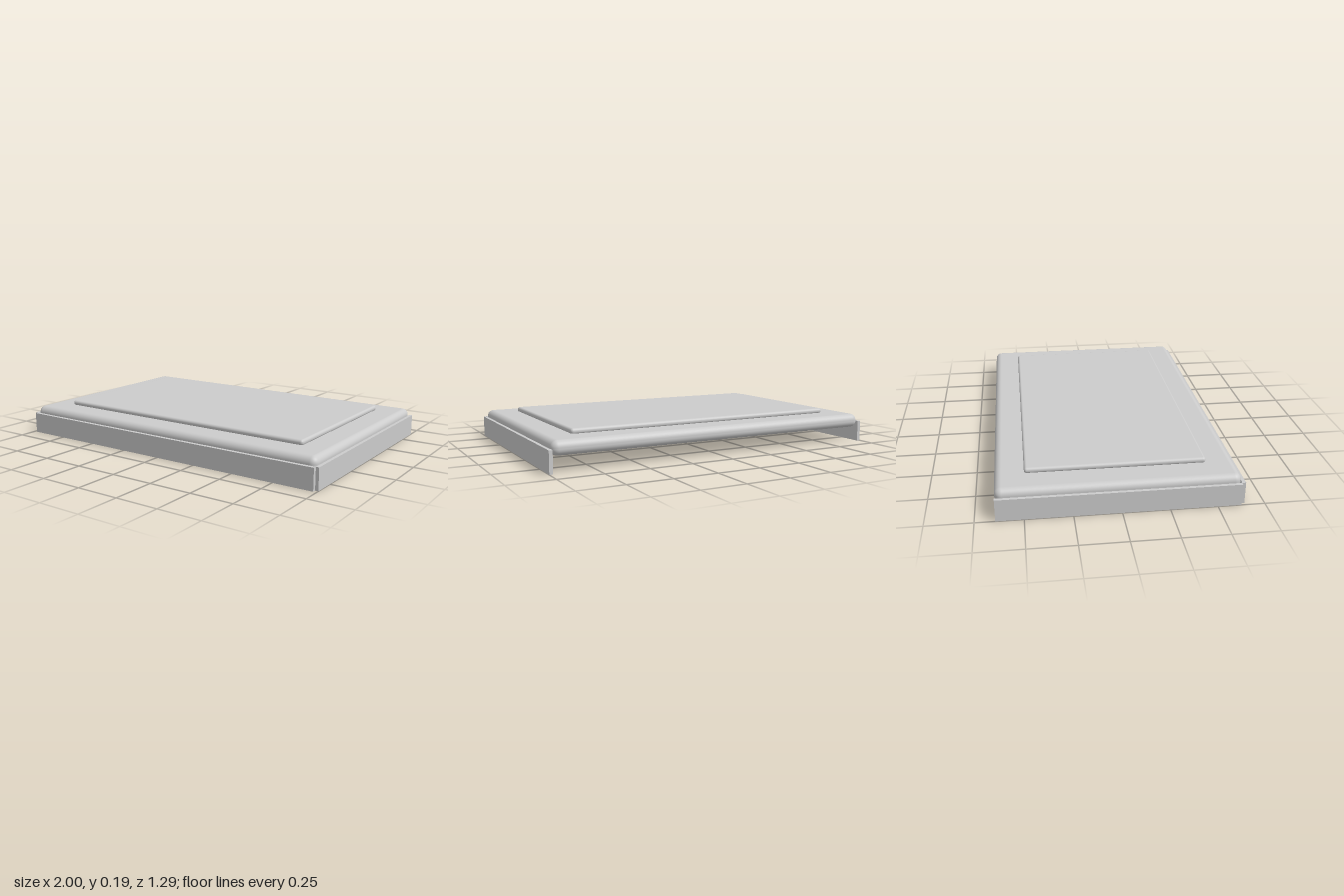
import * as THREE from 'three';
import { RoundedBoxGeometry } from 'three/addons/geometries/RoundedBoxGeometry.js';

export function createModel() {
  const group = new THREE.Group();
  const material = new THREE.MeshStandardMaterial({ color: 0xcccccc });

  // Adds a box spanning min..max on each axis, rounded when a radius is given
  function addBox(name, [x0, y0, z0], [x1, y1, z1], radius = 0) {
    const size = [x1 - x0, y1 - y0, z1 - z0];
    const geometry = radius
      ? new RoundedBoxGeometry(...size, 5, radius)
      : new THREE.BoxGeometry(...size);
    const mesh = new THREE.Mesh(geometry, material);
    mesh.name = name;
    mesh.position.set((x0 + x1) / 2, (y0 + y1) / 2, (z0 + z1) / 2);
    group.add(mesh);
  }

  // Rounded top slab and the thin raised pad on it
  addBox('topSlab', [-0.982, 0.085, -0.645], [0.982, 0.165, 0.625], 0.037);
  addBox('raisedPad', [-0.825, 0.16, -0.49], [0.825, 0.192, 0.47], 0.015);

  // Skirt boards on the front and both sides; the back stays open
  addBox('frontSkirt', [-0.982, 0, 0.625], [0.982, 0.122, 0.645]);
  addBox('leftSkirt', [0.98, 0, -0.645], [1, 0.122, 0.625]);
  addBox('rightSkirt', [-1, 0, -0.645], [-0.98, 0.122, 0.625]);

  return group;
}
